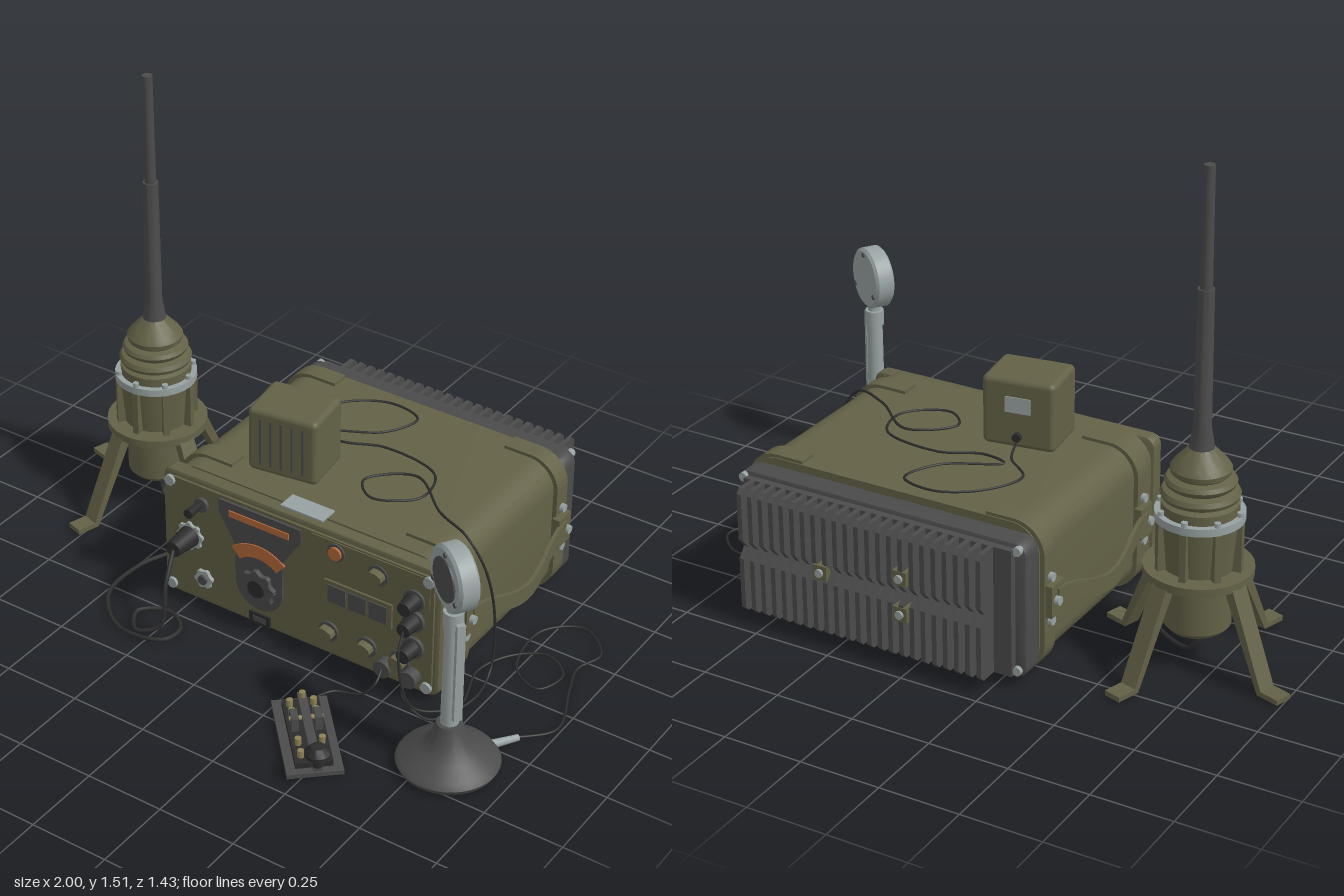
import * as THREE from 'three';
import { toCreasedNormals } from 'three/addons/utils/BufferGeometryUtils.js';
import { RoundedBoxGeometry } from 'three/addons/geometries/RoundedBoxGeometry.js';

const mat = (name, color) => Object.assign(new THREE.MeshStandardMaterial({ color }), { name });
const olive = mat('olive paint', 0x636146), dark = mat('dark grey metal', 0x4a4b4a);
const black = mat('black rubber', 0x2b2c2b), steel = mat('pale steel', 0x98a2a2);
const orange = mat('orange dial', 0xb5683a), brass = mat('brass', 0x8b8254);

function add(parent, name, geo, material, x = 0, y = 0, z = 0, rx = 0, ry = 0, rz = 0) {
  const m = new THREE.Mesh(geo, material);
  m.name = name;
  m.position.set(x, y, z);
  m.rotation.set(rx, ry, rz);
  parent.add(m);
  return m;
}
function group(parent, name, x = 0, y = 0, z = 0, ry = 0) {
  const g = new THREE.Group();
  g.name = name;
  g.position.set(x, y, z);
  g.rotation.y = ry;
  parent.add(g);
  return g;
}
const box = (w, h, d) => new THREE.BoxGeometry(w, h, d);
const cyl = (r1, r2, h, n = 24) => new THREE.CylinderGeometry(r1, r2, h, n);
const lathe = (pts, n = 36) => toCreasedNormals(
  new THREE.LatheGeometry(pts.map(p => new THREE.Vector2(...p)), n), 0.6);
const poly = pts => new THREE.Shape(pts.map(p => new THREE.Vector2(...p)));
// Extrusion centred on its depth
function extrude(shape, depth, bevel = 0) {
  const g = new THREE.ExtrudeGeometry(shape, { depth: depth - 2 * bevel, curveSegments: 12,
    bevelEnabled: bevel > 0, bevelSize: bevel, bevelThickness: bevel, bevelOffset: -bevel, bevelSegments: 2 });
  g.translate(0, 0, bevel - depth / 2);
  return toCreasedNormals(g, 0.6);
}
function roundRect(w, h, r) {
  const s = new THREE.Shape(), a = w / 2 - r, b = h / 2 - r;
  s.absarc(a, b, r, 0, Math.PI / 2);
  s.absarc(-a, b, r, Math.PI / 2, Math.PI);
  s.absarc(-a, -b, r, Math.PI, Math.PI * 1.5);
  s.absarc(a, -b, r, Math.PI * 1.5, Math.PI * 2);
  return s;
}
function gear(r, n, depth) {
  const pts = [];
  for (let i = 0; i < n * 4; i++) {
    const a = i / (n * 4) * Math.PI * 2, q = i % 4 < 2 ? r : r * 0.84;
    pts.push([Math.cos(a) * q, Math.sin(a) * q]);
  }
  return extrude(poly(pts), depth);
}
function cable(parent, name, pts, r) {
  const c = new THREE.CatmullRomCurve3(pts.map(p => new THREE.Vector3(...p)));
  return add(parent, name, new THREE.TubeGeometry(c, pts.length * 10, r, 8), black);
}

function buildCase(root) {
  const g = group(root, 'radioCase', 0.147, 0.25, 0);
  add(g, 'caseBody', extrude(roundRect(0.97, 0.46, 0.09), 0.68), olive, 0, 0, -0.21);
  add(g, 'frontFrame', extrude(roundRect(0.99, 0.45, 0.035), 0.05, 0.01), olive, 0, 0, 0.145);
  add(g, 'frontPlate', extrude(roundRect(0.95, 0.41, 0.03), 0.012), olive, 0, 0, 0.172);
  add(g, 'topLabel', box(0.15, 0.006, 0.065), steel, 0, 0.232, 0.122);
  add(g, 'bottomSlot', box(0.4, 0.006, 0.015), black, 0, -0.231, -0.2);
  // Corner straps wrap each side like a C
  const c = new THREE.Shape(), w = 0.5, h = 0.24, r = 0.1, t = 0.014;
  c.moveTo(0.31, h); c.lineTo(w - r, h);
  c.absarc(w - r, h - r, r, Math.PI / 2, 0, true);
  c.absarc(w - r, r - h, r, 0, -Math.PI / 2, true);
  c.lineTo(0.31, -h); c.lineTo(0.31, t - h);
  c.absarc(w - r, r - h, r - t, -Math.PI / 2, 0);
  c.absarc(w - r, h - r, r - t, 0, Math.PI / 2);
  c.lineTo(0.31, h - t);
  const strap = extrude(c, 0.062);
  for (const s of [1, -1]) {
    const side = s > 0 ? 'left' : 'right';
    for (const z of [0.04, -0.515]) {
      add(g, side + 'Strap', strap, olive, 0, 0, z, 0, s > 0 ? 0 : Math.PI);
      add(g, side + 'HandleMount', box(0.025, 0.1, 0.07), olive, s * 0.508, 0, z + (z > 0 ? -0.01 : 0.01));
      for (const y of [0.07, 0, -0.07])
        add(g, side + 'StrapBolt', cyl(0.014, 0.014, 0.02, 10), steel, s * (y ? 0.503 : 0.525), y, z, 0, 0, Math.PI / 2);
    }
    // Sagging carrying handle, a flat band swept in z
    const band = box(0.012, 0.055, 0.54, 1, 1, 1).toNonIndexed && new THREE.BoxGeometry(0.012, 0.055, 0.54, 1, 1, 20);
    const p = band.attributes.position;
    for (let i = 0; i < p.count; i++) {
      const k = Math.cos(p.getZ(i) / 0.54 * Math.PI) ** 2;
      p.setX(i, p.getX(i) + s * (0.52 + 0.03 * k));
      p.setY(i, p.getY(i) + 0.005 - 0.06 * k);
    }
    band.computeVertexNormals();
    add(g, side + 'Handle', toCreasedNormals(band, 0.6), olive, 0, 0, -0.238);
  }
  // Heat sink
  add(g, 'rearFrame', extrude(roundRect(0.97, 0.43, 0.04), 0.075, 0.012), dark, 0, -0.005, -0.585);
  add(g, 'sinkBase', box(0.9, 0.4, 0.03), dark, 0, -0.005, -0.63);
  const fin = extrude(poly([[0.62, -0.205], [0.7, -0.205], [0.715, -0.19], [0.715, -0.03], [0.69, 0],
    [0.715, 0.03], [0.715, 0.18], [0.7, 0.195], [0.62, 0.195]]), 0.015);
  for (let i = 0; i < 23; i++)
    add(g, 'coolingFin', fin, dark, -0.385 + i * 0.0365, 0, 0, 0, Math.PI / 2);
  for (const [x, y] of [[-0.127, 0.055], [-0.127, -0.06], [0.143, 0.0]]) {
    add(g, 'sinkPad', box(0.045, 0.045, 0.09), olive, x, y, -0.672);
    add(g, 'sinkBolt', cyl(0.013, 0.013, 0.01, 10), steel, x, y, -0.72, Math.PI / 2);
  }
  for (const x of [-0.46, 0.46]) for (const y of [-0.19, 0.19]) {
    add(g, 'frontBolt', cyl(0.018, 0.018, 0.012, 12), steel, x, y, 0.182, Math.PI / 2);
    add(g, 'rearBolt', cyl(0.014, 0.014, 0.02, 12), steel, x, y, -0.625, Math.PI / 2);
  }
}

function buildPanel(root) {
  const g = group(root, 'controlPanel', 0, 0, 0.178);
  const disc = (name, x, y, r, d, m, n = 24) => add(g, name, cyl(r, r, d, n), m, x, y, d / 2, Math.PI / 2);
  // Tuning dial
  add(g, 'dialPlate', extrude(poly([[-0.13, 0.445], [-0.13, 0.4], [-0.07, 0.3], [-0.07, 0.2], [0.1, 0.2],
    [0.1, 0.3], [0.165, 0.4], [0.165, 0.445]]), 0.01), dark, 0, 0, 0.003);
  add(g, 'dialStrip', box(0.215, 0.022, 0.006), orange, 0.017, 0.408, 0.009);
  const arc = new THREE.Shape();
  arc.absarc(0, 0, 0.145, 0.85, Math.PI - 0.85);
  arc.absarc(0, 0, 0.1, Math.PI - 0.85, 0.85, true);
  add(g, 'dialArc', extrude(arc, 0.006), orange, 0.015, 0.185, 0.009);
  disc('tuningSkirt', 0.015, 0.18, 0.085, 0.008, dark, 32);
  add(g, 'tuningKnob', gear(0.064, 8, 0.02), dark, 0.015, 0.18, 0.014);
  disc('tuningCap', 0.015, 0.18, 0.03, 0.026, black);
  add(g, 'namePlate', box(0.075, 0.04, 0.008), black, 0.015, 0.057, 0.003);
  add(g, 'namePlateInset', box(0.045, 0.018, 0.006), dark, 0.015, 0.057, 0.006);
  // Raised sub panel with display windows
  add(g, 'subPanel', extrude(poly([[0.2, 0.45], [0.2, 0.36], [0.34, 0.36], [0.34, 0.335], [0.61, 0.335],
    [0.61, 0.45]]), 0.008), olive, 0, 0, 0);
  add(g, 'displayFrame', box(0.235, 0.085, 0.008), olive, 0.367, 0.265, 0.003);
  for (const x of [0.295, 0.367, 0.439]) add(g, 'displayWindow', box(0.062, 0.06, 0.008), dark, x, 0.265, 0.007);
  disc('lampBezel', 0.29, 0.417, 0.03, 0.01, dark);
  disc('lamp', 0.29, 0.417, 0.022, 0.018, orange);
  // Rotary selectors
  for (const [x, y] of [[0.435, 0.395], [0.265, 0.12], [0.4, 0.12], [0.515, 0.12]]) {
    disc('selectorBase', x, y, 0.034, 0.008, dark);
    add(g, 'selector', gear(0.027, 3, 0.03), olive, x, y, 0.018);
  }
  for (const y of [0.36, 0.285, 0.19]) {
    disc('sideKnobBase', 0.56, y, 0.036, 0.012, dark);
    add(g, 'sideKnob', cyl(0.022, 0.029, 0.06, 16), black, 0.56, y, 0.035, Math.PI / 2);
  }
  for (const x of [0.47, 0.56]) disc('socket', x, 0.085, 0.028, 0.035, dark);
  // Toggle, antenna plug and spare socket
  disc('toggleBase', -0.195, 0.395, 0.024, 0.012, dark);
  add(g, 'toggle', cyl(0.016, 0.01, 0.07, 12), black, -0.195, 0.4, 0.04, Math.PI / 2);
  add(g, 'antennaSocket', gear(0.048, 8, 0.012), steel, -0.24, 0.265, 0.004);
  add(g, 'antennaPlug', cyl(0.026, 0.036, 0.09, 20), black, -0.24, 0.265, 0.05, Math.PI / 2);
  add(g, 'spareSocket', gear(0.033, 6, 0.014), steel, -0.19, 0.125, 0.005);
  disc('spareSocketCore', -0.19, 0.125, 0.016, 0.02, dark);
}

function buildSpeaker(root) {
  const g = group(root, 'speaker', -0.02, 0.59, -0.055, 0.14);
  add(g, 'speakerBox', new RoundedBoxGeometry(0.23, 0.22, 0.18, 3, 0.018), olive);
  for (let i = 0; i < 5; i++) add(g, 'grilleSlot', box(0.008, 0.16, 0.006), dark, -0.07 + i * 0.035, 0, 0.09);
  add(g, 'rearPlate', box(0.08, 0.05, 0.006), steel, 0, 0.03, -0.09);
  add(g, 'cableGland', cyl(0.014, 0.014, 0.02, 12), black, 0, -0.07, -0.095, Math.PI / 2);
}

function buildAntenna(root) {
  const g = group(root, 'antenna', -0.677, 0, -0.235, -0.3);
  add(g, 'antennaHousing', lathe([[0, 0.12], [0.085, 0.12], [0.098, 0.135], [0.098, 0.295], [0.16, 0.295],
    [0.16, 0.32], [0.105, 0.32], [0.118, 0.47], [0, 0.47]]), olive);
  add(g, 'clampRing', lathe([[0.1, 0.468], [0.13, 0.468], [0.13, 0.492], [0.1, 0.492]]), steel);
  add(g, 'bellows', lathe([[0.112, 0.48], [0.112, 0.52], [0.095, 0.527], [0.11, 0.535], [0.115, 0.547], [0.108, 0.56],
    [0.088, 0.566], [0.1, 0.575], [0.104, 0.586], [0.097, 0.597], [0.078, 0.603], [0.086, 0.61], [0.088, 0.625],
    [0.078, 0.64], [0.055, 0.665], [0.036, 0.685], [0, 0.69]]), olive);
  add(g, 'lowerMast', lathe([[0.04, 0.665], [0.026, 0.75], [0.024, 1.16], [0, 1.16]], 20), dark);
  add(g, 'upperMast', cyl(0.016, 0.018, 0.36, 20), dark, 0, 1.336, 0);
  add(g, 'cableBoss', cyl(0.022, 0.014, 0.06, 12), black, 0, 0.1, 0);
  for (let i = 0; i < 8; i++) {
    const a = group(g, 'housingRib', 0, 0, 0, (i + 0.5) * Math.PI / 4);
    add(a, 'rib', box(0.035, 0.15, 0.02), olive, 0.113, 0.392, 0);
    add(a, 'ringBolt', cyl(0.01, 0.01, 0.05, 8), steel, 0.12, 0.48, 0);
  }
  const leg = extrude(poly([[0.115, 0.32], [0.125, 0.295], [0.262, 0.012], [0.338, 0.012], [0.338, 0.028],
    [0.275, 0.028], [0.15, 0.32]]), 0.055);
  for (let i = 0; i < 4; i++) {
    add(g, 'leg', leg, olive, 0, 0, 0, 0, i * Math.PI / 2);
  }
}

function buildMicrophone(root) {
  const g = group(root, 'microphone', 0.807, 0, 0.38, -0.57);
  add(g, 'micBase', lathe([[0, 0.015], [0.145, 0.015], [0.152, 0.03], [0.14, 0.045], [0.09, 0.07], [0.055, 0.105],
    [0.038, 0.16], [0, 0.165]]), dark);
  add(g, 'micStem', cyl(0.025, 0.027, 0.36, 20), steel, 0, 0.34, 0);
  add(g, 'stemCollar', cyl(0.03, 0.03, 0.05, 20), steel, 0, 0.525, 0);
  add(g, 'stemNeck', cyl(0.02, 0.02, 0.06, 16), steel, 0, 0.56, 0);
  add(g, 'talkBar', box(0.014, 0.33, 0.026), steel, 0.045, 0.365, 0);
  for (const y of [0.22, 0.5]) add(g, 'talkBarLink', box(0.04, 0.016, 0.016), steel, 0.028, y, 0);
  add(g, 'micHead', lathe([[0, -0.032], [0.09, -0.032], [0.099, -0.024], [0.099, 0.024], [0.09, 0.032], [0, 0.032]]),
    steel, 0, 0.664, 0, Math.PI / 2);
  add(g, 'micGrille', cyl(0.066, 0.066, 0.008, 32), dark, 0, 0.664, 0.033, Math.PI / 2);
  for (let i = 0; i < 3; i++) {
    const a = Math.PI / 2 + i * Math.PI * 2 / 3;
    for (const z of [0.033, -0.033])
      add(g, 'headScrew', cyl(0.008, 0.008, 0.006, 10), dark, Math.cos(a) * 0.08, 0.664 + Math.sin(a) * 0.08, z, Math.PI / 2);
  }
  add(root, 'micCableSleeve', cyl(0.01, 0.014, 0.09, 12), steel, 0.9, 0.028, 0.225, -Math.PI / 2, -0, -0.6);
}

function buildKey(root) {
  const g = group(root, 'telegraphKey', 0.415, 0, 0.515, -0.83);
  add(g, 'keyPlate', box(0.34, 0.014, 0.165), dark, 0, 0.014, 0);
  add(g, 'keyBase', box(0.29, 0.02, 0.11), black, 0, 0.03, 0);
  for (const z of [-0.035, 0.035]) {
    add(g, 'pivotPost', box(0.05, 0.05, 0.022), dark, -0.02, 0.06, z);
    for (const x of [-0.115, -0.07, 0.06, 0.115]) add(g, 'terminal', cyl(0.01, 0.01, 0.03, 10), brass, x, 0.048, z);
  }
  add(g, 'keyArm', box(0.33, 0.022, 0.026), dark, 0.045, 0.072, 0);
  add(g, 'pivotPin', cyl(0.007, 0.007, 0.1, 10), brass, -0.02, 0.07, 0, Math.PI / 2);
  add(g, 'springScrew', cyl(0.01, 0.01, 0.06, 10), brass, -0.1, 0.07, 0);
  add(g, 'keyKnob', lathe([[0, 0.08], [0.014, 0.08], [0.016, 0.1], [0.037, 0.118], [0.037, 0.13], [0.02, 0.15], [0, 0.152]], 20),
    black, 0.208, 0, 0);
}

export function createModel() {
  const root = new THREE.Group();
  root.name = 'fieldRadioSet';
  buildCase(root);
  buildPanel(root);
  buildSpeaker(root);
  buildAntenna(root);
  buildMicrophone(root);
  buildKey(root);
  cable(root, 'antennaCable', [[-0.677, 0.09, -0.235], [-0.65, 0.03, -0.225], [-0.53, 0.014, -0.16], [-0.44, 0.014, -0.05],
    [-0.49, 0.014, 0.12], [-0.48, 0.014, 0.29], [-0.345, 0.014, 0.41], [-0.2, 0.014, 0.385], [-0.19, 0.014, 0.31],
    [-0.265, 0.02, 0.265], [-0.345, 0.022, 0.32], [-0.29, 0.022, 0.4], [-0.22, 0.05, 0.37], [-0.225, 0.18, 0.33],
    [-0.24, 0.262, 0.27]], 0.007);
  cable(root, 'speakerCable', [[-0.03, 0.5, -0.15], [-0.05, 0.482, -0.21], [-0.14, 0.482, -0.3], [-0.08, 0.482, -0.43], [0.04, 0.482, -0.5],
    [0.155, 0.482, -0.47], [0.11, 0.482, -0.35], [-0.05, 0.482, -0.25], [0.03, 0.484, -0.23], [0.16, 0.482, -0.28],
    [0.36, 0.482, -0.24], [0.39, 0.482, -0.11], [0.27, 0.482, -0.03], [0.2, 0.482, -0.1], [0.32, 0.484, -0.2],
    [0.48, 0.482, -0.08], [0.6, 0.475, -0.03], [0.665, 0.39, -0.03], [0.69, 0.2, -0.06], [0.7, 0.03, -0.03],
    [0.72, 0.014, 0.1], [0.66, 0.02, 0.26], [0.58, 0.08, 0.27], [0.56, 0.085, 0.21]], 0.004);
  cable(root, 'microphoneCable', [[0.91, 0.026, 0.2], [0.99, 0.014, 0.08], [0.93, 0.014, -0.1], [0.9, 0.014, -0.2], [0.925, 0.014, -0.3],
    [0.82, 0.014, -0.385], [0.72, 0.014, -0.3], [0.75, 0.014, -0.1], [0.85, 0.014, -0.05], [0.88, 0.014, -0.15],
    [0.8, 0.02, -0.2], [0.71, 0.014, -0.15], [0.66, 0.014, -0.03], [0.7, 0.014, 0.15], [0.62, 0.06, 0.28],
    [0.57, 0.22, 0.28], [0.56, 0.285, 0.24]], 0.004);
  cable(root, 'keyCable', [[0.33, 0.03, 0.42], [0.36, 0.014, 0.3], [0.44, 0.02, 0.27], [0.475, 0.06, 0.25], [0.47, 0.085, 0.21]], 0.004);
  return root;
}
